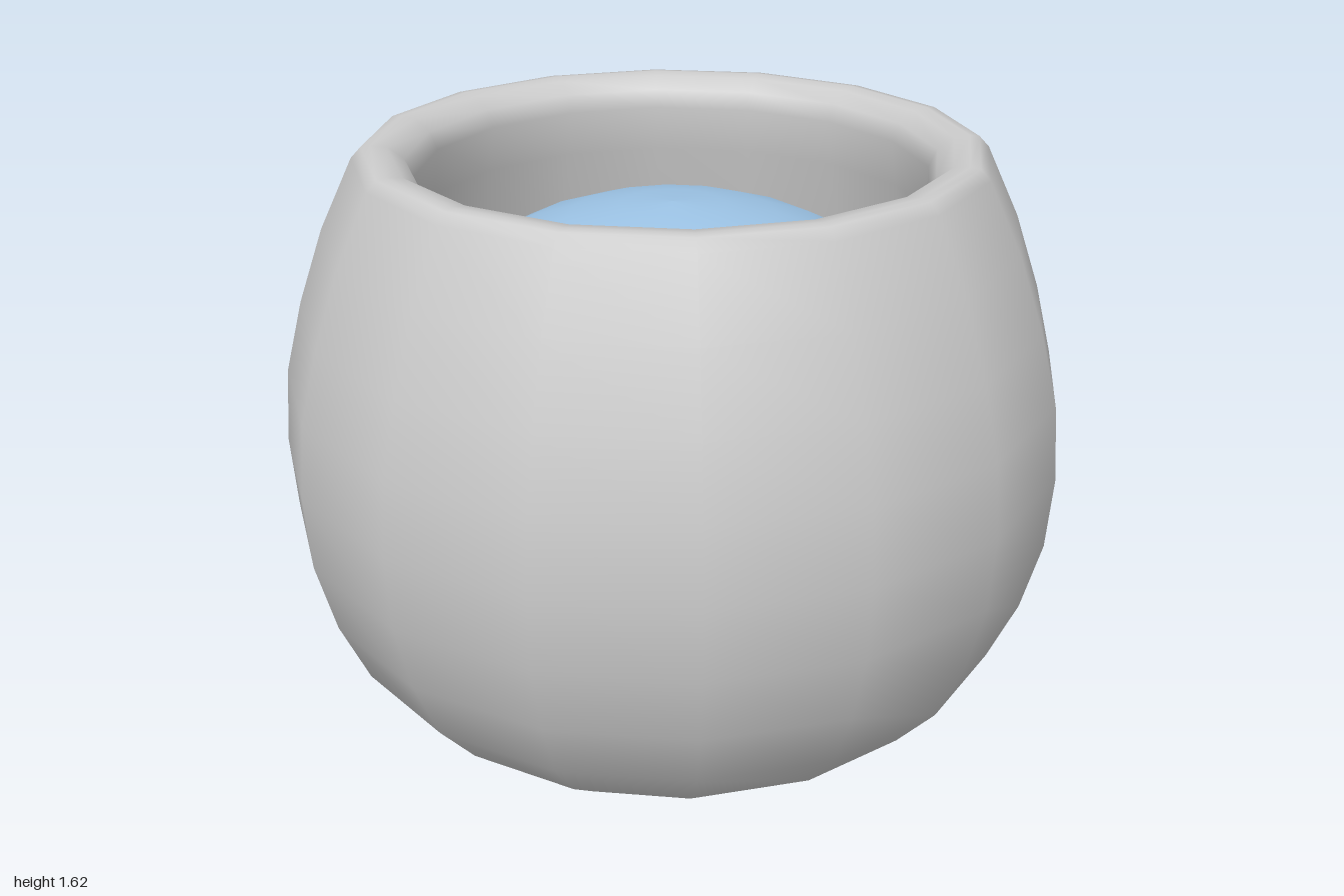
import * as THREE from 'three';

const SIDES = 16;

// Smooth surface of revolution from [radius, height] pairs
function lathe(name, profile, material) {
  const points = profile.map(([r, y]) => new THREE.Vector2(r, y));
  const mesh = new THREE.Mesh(new THREE.LatheGeometry(points, SIDES), material);
  mesh.name = name;
  return mesh;
}

export function createModel() {
  const ceramic = new THREE.MeshStandardMaterial({ color: 0xcccccc });
  ceramic.name = 'greyCeramic';
  const water = new THREE.MeshStandardMaterial({ color: 0x9cc3e5 });
  water.name = 'paleBlue';

  const model = new THREE.Group();
  model.name = 'roundPot';

  // Bowl: outside from the base up, over the rounded rim, then down the inside
  model.add(lathe('bowl', [
    [0, 0], [0.24, 0.008], [0.46, 0.05], [0.62, 0.11], [0.75, 0.2],
    [0.86, 0.32], [0.935, 0.48], [0.985, 0.66], [1, 0.85], [0.985, 1.04],
    [0.94, 1.22], [0.875, 1.41], [0.79, 1.59], [0.765, 1.617], [0.74, 1.62],
    [0.7, 1.615], [0.66, 1.585], [0.64, 1.54], [0.655, 1.42],
    [0.69, 1.25], [0.72, 1.08], [0.72, 0.9],
  ], ceramic));

  // Domed filling: a shallow spherical cap reaching into the inner wall
  const radius = 1, centreY = 0.465, steps = 6, spread = 0.8;
  const cap = [];
  for (let i = 0; i <= steps; i++) {
    const a = spread * (1 - i / steps);
    cap.push([radius * Math.sin(a), centreY + radius * Math.cos(a)]);
  }
  model.add(lathe('domedFilling', cap, water));

  return model;
}
